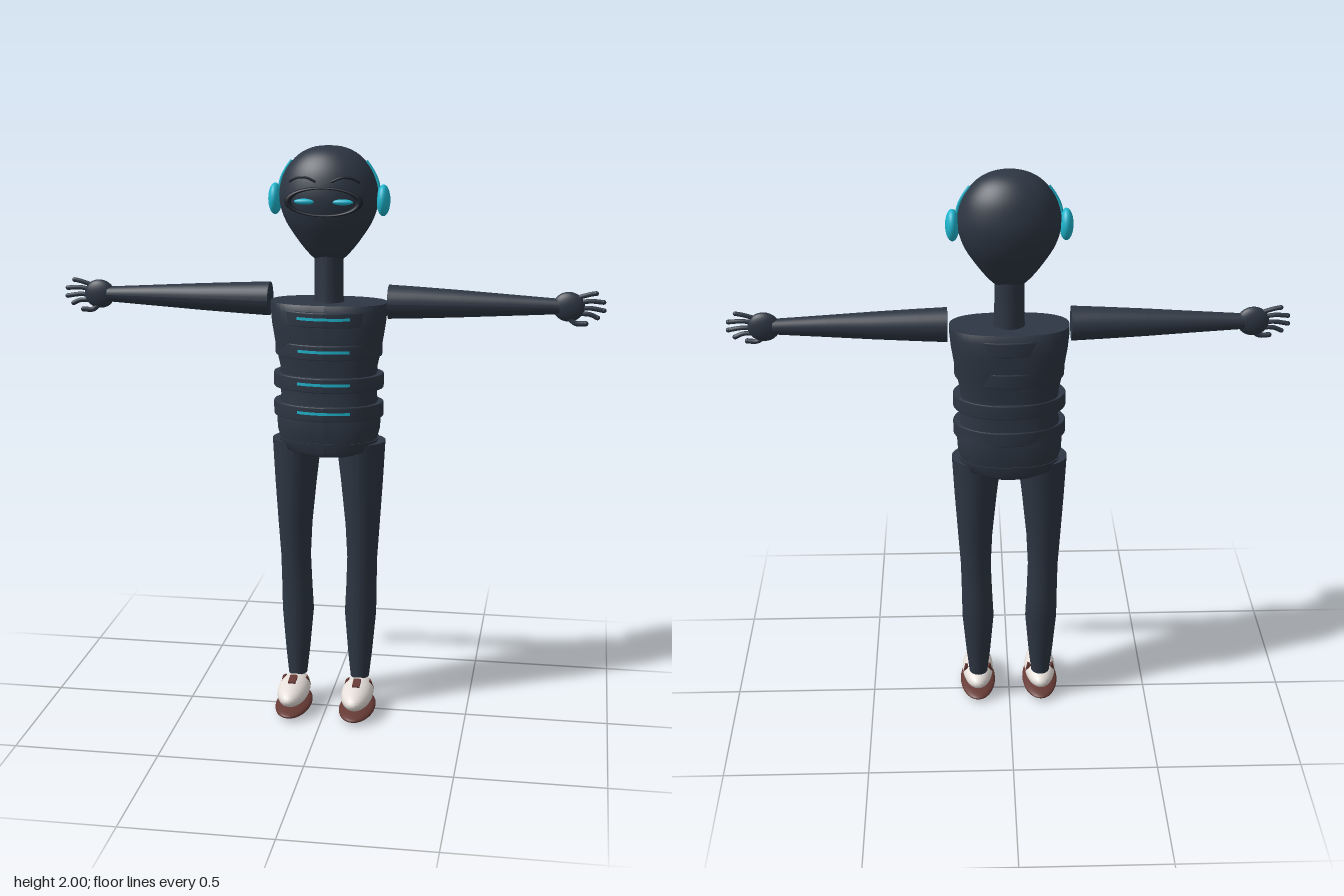
import * as THREE from 'three';

const mat = (name, color, side = THREE.FrontSide) => {
  const m = new THREE.MeshStandardMaterial({ color, side });
  m.name = name;
  return m;
};

// Closed loft of superellipse sections [y, centreX, centreZ, radiusX, radiusZ], bottom to top
function loft(sections, power = 2, n = 40) {
  const pos = [], idx = [];
  const ring = ([y, cx, cz, rx, rz]) => {
    const start = pos.length / 3;
    for (let i = 0; i <= n; i++) {
      const a = (i / n) * Math.PI * 2, s = Math.sin(a), c = Math.cos(a);
      pos.push(cx + rx * Math.sign(s) * Math.abs(s) ** (2 / power), y,
        cz + rz * Math.sign(c) * Math.abs(c) ** (2 / power));
    }
    return start;
  };
  let prev = null;
  for (const s of sections) {
    const start = ring(s);
    if (prev !== null) {
      for (let i = 0; i < n; i++) {
        const a = prev + i, b = start + i;
        idx.push(a, a + 1, b, a + 1, b + 1, b);
      }
    }
    prev = start;
  }
  // flat caps with their own vertices
  for (const [s, up] of [[sections[0], false], [sections[sections.length - 1], true]]) {
    const start = ring(s), mid = pos.length / 3;
    pos.push(s[1], s[0], s[2]);
    for (let i = 0; i < n; i++) {
      if (up) idx.push(mid, start + i, start + i + 1);
      else idx.push(mid, start + i + 1, start + i);
    }
  }
  const g = new THREE.BufferGeometry();
  g.setAttribute('position', new THREE.Float32BufferAttribute(pos, 3));
  g.setIndex(idx);
  g.computeVertexNormals();
  return g;
}

const tube = (points, r) => new THREE.TubeGeometry(
  new THREE.CatmullRomCurve3(points.map(p => new THREE.Vector3(...p))), 16, r, 8);

export function createModel() {
  const model = new THREE.Group();
  const suit = mat('dark slate', 0x2d3643);
  const trim = mat('near black', 0x1c222c);
  const glow = mat('cyan', 0x1fb6cf);
  const white = mat('shoe white', 0xe6dfda);
  const brown = mat('sole brown', 0x663a35);
  const CZ = -0.04;

  const add = (parent, name, geo, material, x = 0, y = 0, z = 0) => {
    const m = new THREE.Mesh(geo, material);
    m.name = name;
    m.position.set(x, y, z);
    parent.add(m);
    return m;
  };
  const ball = (parent, name, material, p, r) => {
    const m = add(parent, name, new THREE.SphereGeometry(1, 28, 18), material, ...p);
    m.scale.set(...r);
    return m;
  };

  // Egg-shaped head and neck
  const outline = new THREE.SplineCurve([[0, 1.605], [0.035, 1.611], [0.07, 1.64], [0.11, 1.69],
    [0.148, 1.75], [0.167, 1.81], [0.166, 1.86], [0.145, 1.92], [0.105, 1.967], [0.055, 1.993], [0, 2]]
    .map(p => new THREE.Vector2(...p))).getPoints(36);
  outline.forEach(p => { p.x = Math.max(p.x, 0); });
  add(model, 'head', new THREE.LatheGeometry(outline, 44), suit, 0, 0, CZ).scale.z = 0.76;
  add(model, 'neck', loft([[1.45, 0, CZ, 0.056, 0.054], [1.49, 0, CZ, 0.05, 0.05],
    [1.64, 0, CZ, 0.049, 0.048]]), suit);

  // Face: flat oval visor rim, eyes and brows
  add(model, 'visorRim', new THREE.TorusGeometry(0.12, 0.012, 10, 48), trim, 0, 1.825, 0.08)
    .scale.set(1, 0.38, 1);
  for (const s of [1, -1]) {
    ball(model, 'eye', glow, [s * 0.063, 1.825, 0.08], [0.036, 0.01, 0.012]);
    add(model, 'brow', tube([[s * 0.025, 1.89, 0.08], [s * 0.06, 1.904, 0.077],
      [s * 0.09, 1.902, 0.07], [s * 0.118, 1.888, 0.06]], 0.004), trim);
    // Ear discs with a thin strip following the head upward
    ball(model, 'earPod', glow, [s * 0.184, 1.82, CZ], [0.023, 0.053, 0.042]);
    add(model, 'earStrip', tube([[s * 0.172, 1.85, CZ], [s * 0.162, 1.89, CZ],
      [s * 0.147, 1.92, CZ], [s * 0.126, 1.95, CZ]], 0.005), glow);
  }

  // Torso and pelvis
  add(model, 'torso', loft([
    [0.985, 0, CZ, 0.165, 0.115], [1.03, 0, CZ, 0.177, 0.122], [1.08, 0, CZ, 0.18, 0.122],
    [1.15, 0, CZ, 0.165, 0.114], [1.25, 0, CZ, 0.167, 0.114], [1.32, 0, CZ, 0.182, 0.12],
    [1.4, 0, CZ, 0.195, 0.122], [1.45, 0, CZ, 0.2, 0.118], [1.475, 0, CZ, 0.2, 0.105],
  ], 2.5), suit);
  add(model, 'pelvis', loft([[0.95, 0, CZ, 0.115, 0.11], [0.965, 0, CZ, 0.165, 0.118],
    [1.0, 0, CZ, 0.174, 0.121]], 2.4), suit);

  // Body rings, each with a glowing strip on the front
  for (const [y, rx] of [[1.43, 0.19], [1.318, 0.185], [1.205, 0.191], [1.105, 0.191]]) {
    const rz = 0.131, cz = -0.035;
    add(model, 'bodyRing', loft([[y - 0.025, 0, cz, rx - 0.002, rz - 0.002],
      [y - 0.021, 0, cz, rx, rz], [y + 0.021, 0, cz, rx, rz],
      [y + 0.025, 0, cz, rx - 0.002, rz - 0.002]]), suit);
    add(model, 'glowStrip', new THREE.CylinderGeometry(1, 1, 0.01, 20, 1, true, -0.49, 0.98),
      glow, 0, y + 0.004, cz).scale.set(rx + 0.003, 1, rz + 0.003);
  }

  for (const s of [1, -1]) {
    // Arm: tapered limb with a flat shoulder end, pointing sideways
    const arm = new THREE.Group();
    arm.name = s > 0 ? 'leftArm' : 'rightArm';
    arm.position.set(0, 1.477, CZ - 0.003);
    model.add(arm);
    const limb = add(arm, 'sleeve', loft([[0.205, 0, 0, 0.058, 0.058], [0.3, 0, 0, 0.054, 0.052],
      [0.45, 0, 0, 0.046, 0.045], [0.6, 0, 0, 0.037, 0.034], [0.78, 0, 0, 0.026, 0.025]], 2, 28), suit);
    limb.rotation.z = -s * Math.PI / 2;

    // Hand: flat palm, four spread fingers and a thumb
    ball(arm, 'palm', suit, [s * 0.81, 0, 0], [0.054, 0.05, 0.024]);
    for (const [y0, y1, tip] of [[0.03, 0.047, 0.905], [0.013, 0.018, 0.93],
      [-0.006, -0.01, 0.932], [-0.023, -0.035, 0.912]]) {
      add(arm, 'finger', tube([[s * 0.835, y0, 0], [s * 0.88, (y0 + y1) / 2 + 0.005, 0],
        [s * (tip - 0.006), y1, 0]], 0.008), suit);
      ball(arm, 'fingertip', suit, [s * (tip - 0.006), y1, 0], [0.009, 0.008, 0.008]);
    }
    add(arm, 'thumb', tube([[s * 0.81, -0.035, 0.005], [s * 0.835, -0.054, 0.008],
      [s * 0.868, -0.054, 0.01]], 0.009), suit);
    ball(arm, 'thumbTip', suit, [s * 0.868, -0.054, 0.01], [0.009, 0.009, 0.009]);

    // Leg: thigh, knee, calf and ankle sections
    add(model, s > 0 ? 'leftLeg' : 'rightLeg', loft([
      [0.11, s * 0.113, CZ, 0.033, 0.038], [0.2, s * 0.113, CZ - 0.004, 0.043, 0.043],
      [0.35, s * 0.113, CZ - 0.01, 0.056, 0.054], [0.45, s * 0.116, CZ - 0.007, 0.054, 0.051],
      [0.56, s * 0.119, CZ - 0.002, 0.053, 0.052], [0.68, s * 0.12, CZ, 0.06, 0.062],
      [0.84, s * 0.117, CZ, 0.073, 0.077], [0.99, s * 0.112, CZ, 0.086, 0.085]]), suit);

    // Shoe: rounded upper on an oval sole, with small trims
    const shoe = new THREE.Group();
    shoe.name = s > 0 ? 'leftShoe' : 'rightShoe';
    shoe.position.set(s * 0.115, 0, 0.035);
    model.add(shoe);
    ball(shoe, 'sole', brown, [0, 0.02, 0], [0.064, 0.02, 0.138]);
    ball(shoe, 'upper', white, [0, 0.072, 0], [0.056, 0.044, 0.13]);
    const tongue = add(shoe, 'tongue', new THREE.BoxGeometry(0.026, 0.01, 0.05), brown, 0, 0.117, 0.025);
    tongue.rotation.x = 0.18;
    for (const side of [1, -1]) {
      const tab = add(shoe, 'sideTab', new THREE.ConeGeometry(0.02, 0.036, 3), brown,
        side * 0.047, 0.088, -0.04);
      tab.scale.x = 0.5;
      tab.rotation.set(Math.PI, 0, -side * 0.5);
    }
  }
  return model;
}
